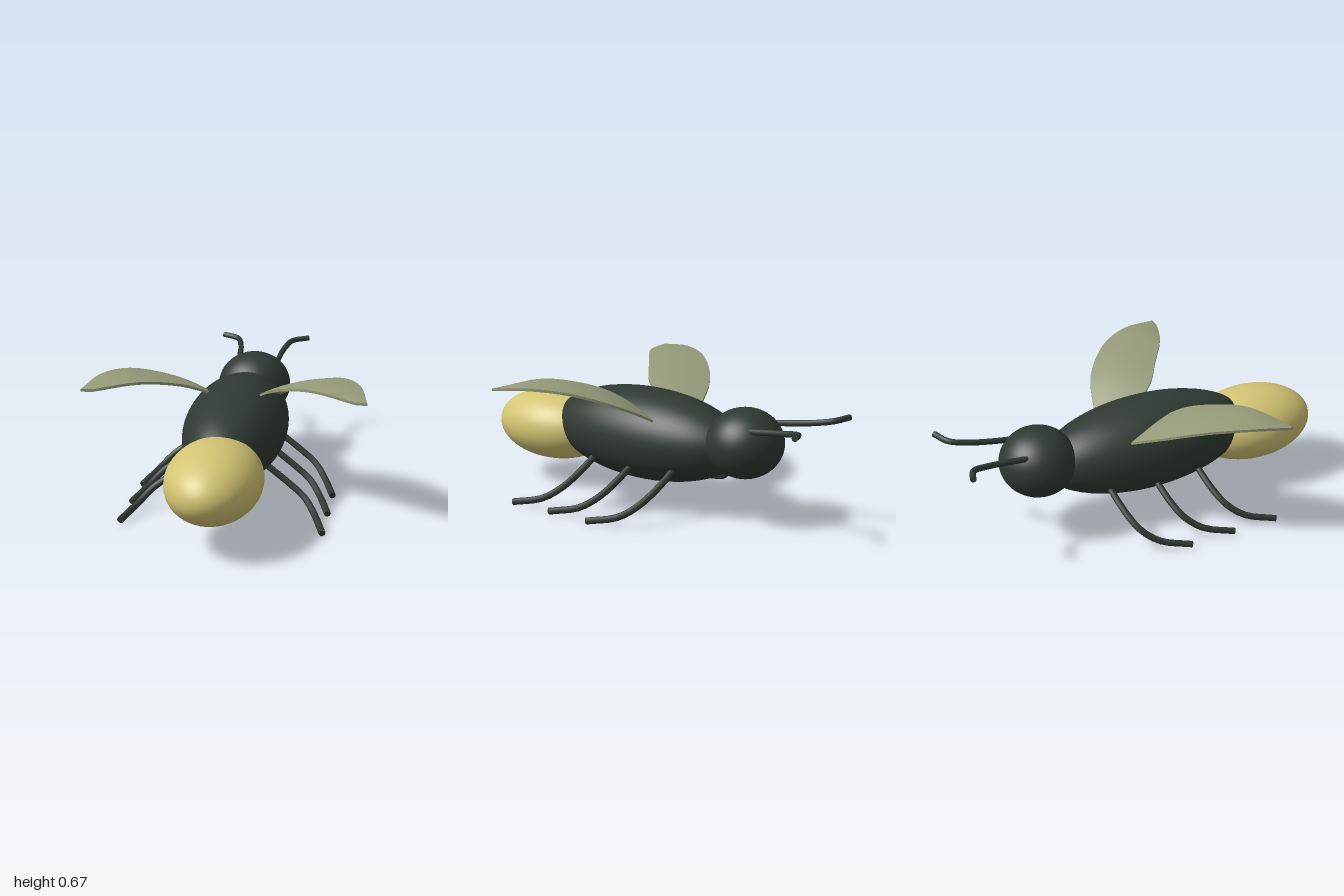
import * as THREE from 'three';
import { toCreasedNormals } from 'three/addons/utils/BufferGeometryUtils.js';

const dark = new THREE.MeshStandardMaterial({ color: 0x2f3932 });
const gold = new THREE.MeshStandardMaterial({ color: 0xd3c473 });
const wingMat = new THREE.MeshStandardMaterial({ color: 0x959a79 });

const curveOf = (points, s = 1, dz = 0) =>
  new THREE.CatmullRomCurve3(points.map(([x, y, z]) => new THREE.Vector3(s * x, y, z + dz)));

function ellipsoid(name, material, radii, position) {
  const geo = new THREE.SphereGeometry(1, 48, 32).rotateX(Math.PI / 2).scale(...radii);
  const mesh = new THREE.Mesh(geo, material);
  mesh.name = name;
  mesh.position.set(...position);
  return mesh;
}

// Round limb along a curve, with a flat cap at its tip
function limb(name, curve, radius) {
  const group = new THREE.Group();
  group.name = name;
  const tube = new THREE.Mesh(new THREE.TubeGeometry(curve, 14, radius, 8), dark);
  tube.name = name + 'Tube';
  const cap = new THREE.Mesh(new THREE.CircleGeometry(radius, 8), dark);
  cap.name = name + 'Tip';
  const tip = curve.getPoint(1);
  cap.position.copy(tip);
  cap.lookAt(tip.clone().add(curve.getTangent(1)));
  group.add(tube, cap);
  return group;
}

// Thin cambered blade spanned between a leading and a trailing edge
function wing(name, s) {
  const lead = curveOf([[0.17, 0.47, -0.15], [0.21, 0.495, -0.14], [0.37, 0.577, -0.075],
    [0.53, 0.647, 0.08], [0.63, 0.665, 0.26], [0.677, 0.645, 0.458]], s);
  const trail = curveOf([[0.1, 0.53, 0.07], [0.125, 0.552, 0.11], [0.17, 0.588, 0.17],
    [0.26, 0.627, 0.24], [0.42, 0.662, 0.36], [0.62, 0.645, 0.452]], s);
  const rows = 20, cols = 8, ring = 2 * (cols + 1), thickness = 0.013;
  const pos = [], index = [];
  const tri = (a, b, c) => (s > 0 ? index.push(a, b, c) : index.push(a, c, b));
  for (let i = 0; i <= rows; i++) {
    const a = lead.getPoint(i / rows), b = trail.getPoint(i / rows);
    for (let k = 0; k < ring; k++) {
      const top = k <= cols;
      const v = (top ? k : ring - 1 - k) / cols;
      const p = a.clone().lerp(b, v);
      const camber = 0.014 * Math.sin(Math.PI * v) * Math.sin(Math.PI * i / rows);
      pos.push(p.x, p.y + camber + (top ? thickness / 2 : -thickness / 2), p.z);
    }
  }
  for (let i = 0; i < rows; i++) {
    for (let k = 0; k < ring; k++) {
      const p = i * ring + k, q = i * ring + (k + 1) % ring;
      tri(p, q, p + ring);
      tri(q, q + ring, p + ring);
    }
  }
  // Blunt tip
  const end = rows * ring;
  for (let j = 0; j < cols; j++) {
    const below = end + ring - 1 - j;
    tri(end + j, end + j + 1, below);
    tri(end + j + 1, below - 1, below);
  }
  const geo = new THREE.BufferGeometry();
  geo.setAttribute('position', new THREE.Float32BufferAttribute(pos, 3));
  geo.setIndex(index);
  const mesh = new THREE.Mesh(toCreasedNormals(geo, 0.8), wingMat);
  mesh.name = name;
  return mesh;
}

export function createModel() {
  const model = new THREE.Group();
  model.name = 'firefly';

  // Body
  model.add(
    ellipsoid('body', dark, [0.253, 0.23, 0.569], [0, 0.36, 0.04]),
    ellipsoid('head', dark, [0.191, 0.172, 0.19], [0, 0.407, -0.553]),
    ellipsoid('glowingTail', gold, [0.229, 0.182, 0.337], [0, 0.308, 0.663])
  );

  const legPath = [[0.15, 0.265, -0.25], [0.22, 0.215, -0.24], [0.3, 0.16, -0.222], [0.375, 0.108, -0.19],
    [0.432, 0.055, -0.115], [0.488, 0.02, 0.035]];
  const antennaPath = [[0.105, 0.5, -0.65], [0.11, 0.512, -0.74], [0.125, 0.53, -0.86],
    [0.155, 0.546, -0.945], [0.24, 0.554, -0.983]];

  // Mirrored pairs
  for (const [side, s] of [['left', 1], ['right', -1]]) {
    model.add(wing(side + 'Wing', s));
    model.add(limb(side + 'Antenna', curveOf(antennaPath, s), 0.015));
    ['head', 'middle', 'tail'].forEach((place, i) => {
      model.add(limb(`${side}Leg_${place}End`, curveOf(legPath, s, i * 0.243), 0.017));
    });
  }
  return model;
}
